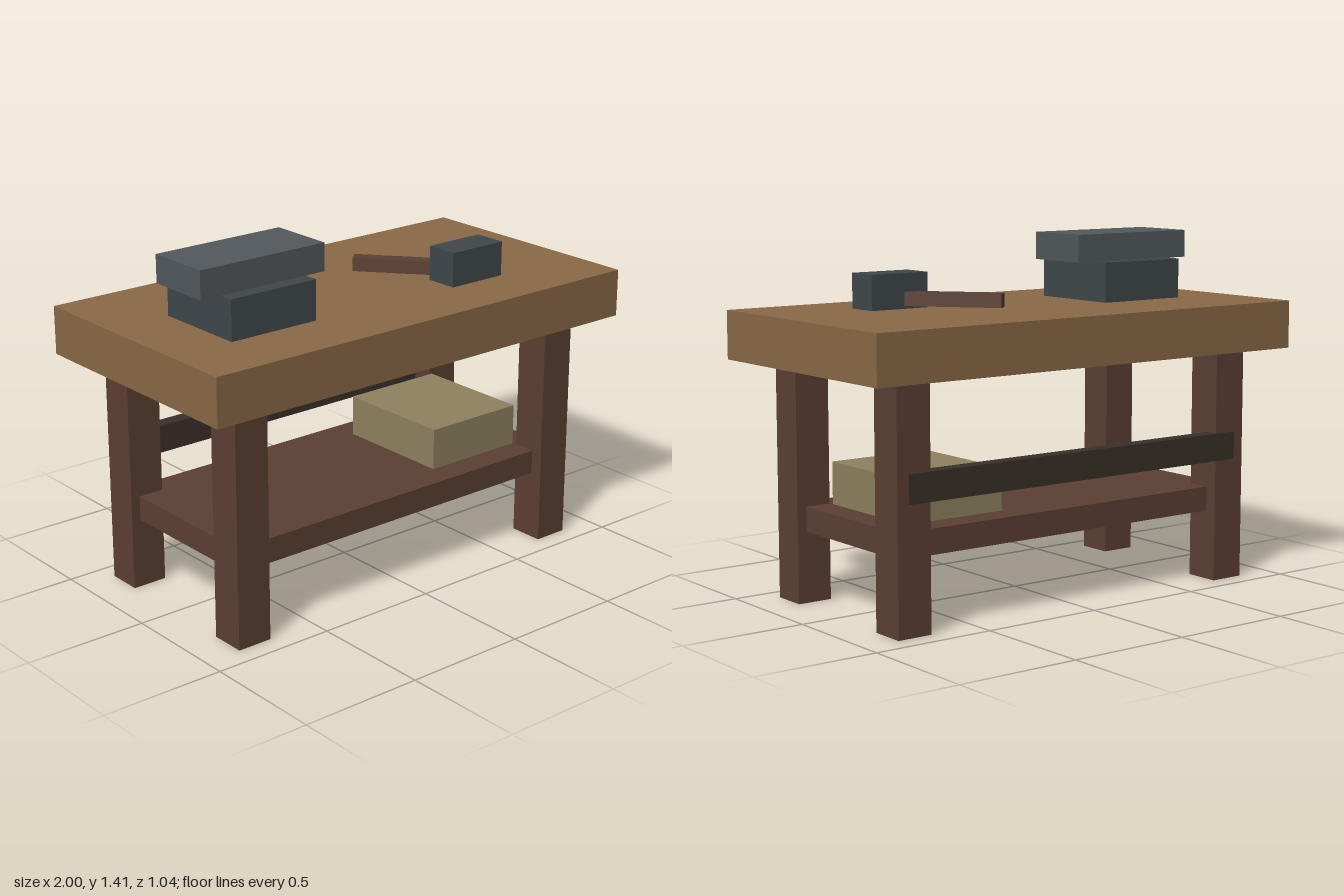
import * as THREE from 'three';

const paint = (color) => new THREE.MeshStandardMaterial({ color });
const topWood = paint(0x8b6946);
const frameWood = paint(0x5c4033);
const darkWood = paint(0x3a302a);
const crateWood = paint(0x8f8260);
const darkIron = paint(0x40484b);
const iron = paint(0x52595c);

// Box given by its [min, max] extents on each axis
function block(name, material, [x0, x1], [y0, y1], [z0, z1]) {
  const mesh = new THREE.Mesh(new THREE.BoxGeometry(x1 - x0, y1 - y0, z1 - z0), material);
  mesh.position.set((x0 + x1) / 2, (y0 + y1) / 2, (z0 + z1) / 2);
  mesh.name = name;
  return mesh;
}

export function createModel() {
  const bench = new THREE.Group();
  bench.name = 'workbench';

  // Thick worktop
  bench.add(block('worktop', topWood, [-1, 1], [0.945, 1.137], [-0.52, 0.52]));

  // Four square legs
  for (const sx of [-1, 1]) {
    for (const sz of [-1, 1]) {
      const leg = block(`${sz > 0 ? 'front' : 'back'}${sx > 0 ? 'Left' : 'Right'}Leg`, frameWood,
        [-0.0725, 0.0725], [0, 0.945], [-0.0725, 0.0725]);
      leg.position.x = sx * 0.776;
      leg.position.z = sz * 0.343;
      bench.add(leg);
    }
  }

  // Lower shelf and back rail
  bench.add(block('shelf', frameWood, [-0.81, 0.81], [0.283, 0.382], [-0.365, 0.365]));
  bench.add(block('backRail', darkWood, [-0.8, 0.8], [0.495, 0.607], [-0.42, -0.36]));

  // Crate resting on the shelf
  bench.add(block('crate', crateWood, [0.257, 0.7], [0.382, 0.55], [-0.252, 0.252]));

  // Anvil: foot and wider face block
  const anvil = new THREE.Group();
  anvil.name = 'anvil';
  anvil.add(block('anvilBase', darkIron, [-0.735, -0.345], [1.137, 1.297], [-0.144, 0.253]));
  anvil.add(block('anvilFace', iron, [-0.825, -0.256], [1.297, 1.408], [-0.081, 0.193]));
  bench.add(anvil);

  // Hammer: head with a handle set at an angle
  const hammer = new THREE.Group();
  hammer.name = 'hammer';
  hammer.add(block('hammerHead', darkIron, [0.325, 0.585], [1.137, 1.276], [0.137, 0.273]));
  const handle = block('hammerHandle', frameWood, [-0.028, 0.028], [1.148, 1.203], [-0.21, 0.21]);
  handle.position.x = 0.3;
  handle.position.z = 0.021;
  handle.rotation.y = 0.7;
  hammer.add(handle);
  bench.add(hammer);

  return bench;
}
